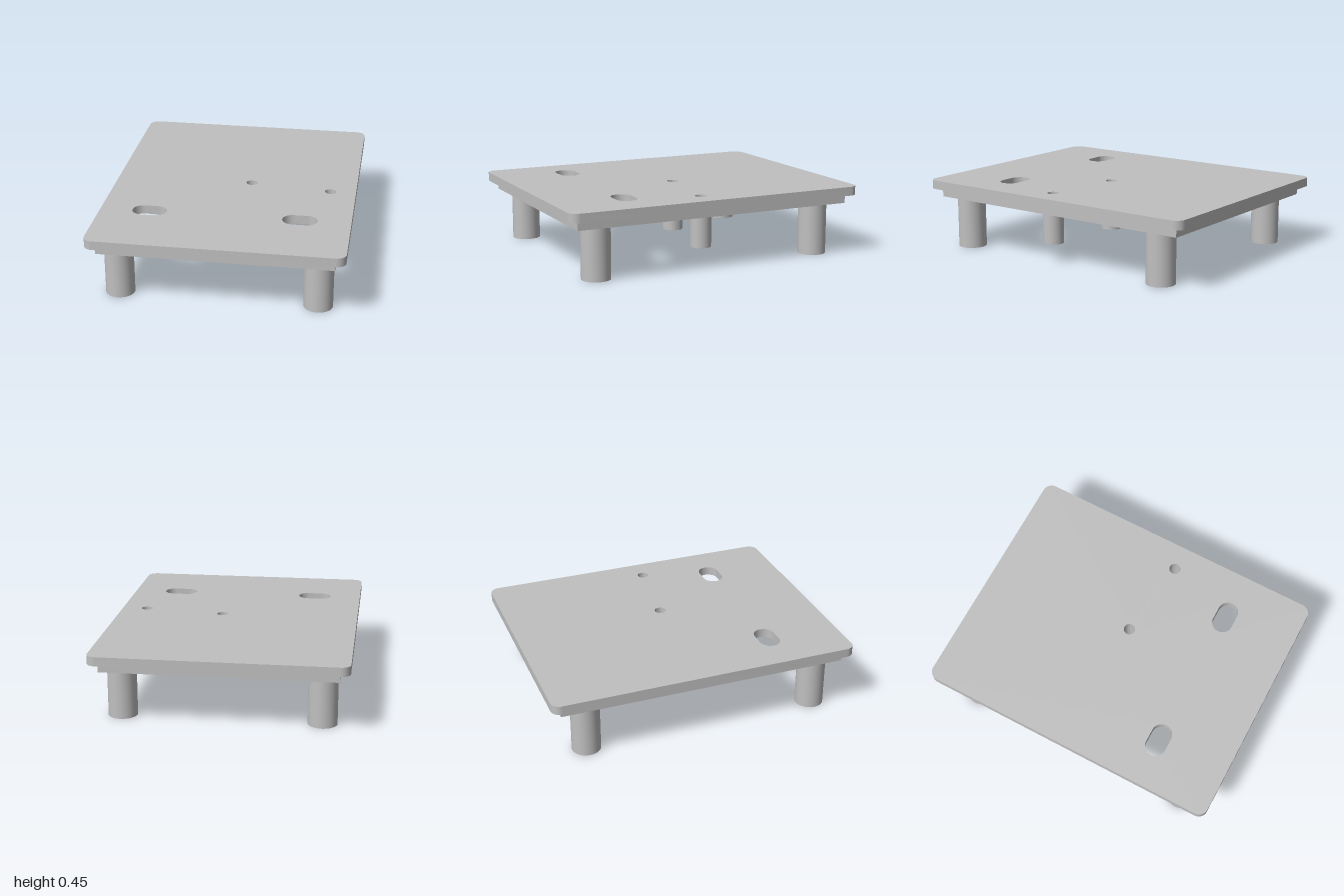
import * as THREE from 'three';
import { toCreasedNormals } from 'three/addons/utils/BufferGeometryUtils.js';

const TOP = 0.449, UNDERSIDE = 0.391, RIM_BOTTOM = 0.332;

// Shapes are drawn in plan: shape x = x, shape y = z.
function roundedRect(Type, x, z, halfW, halfD, r) {
  const s = new Type();
  const q = Math.PI / 2;
  s.absarc(x + halfW - r, z + halfD - r, r, 0, q);
  s.absarc(x - halfW + r, z + halfD - r, r, q, 2 * q);
  s.absarc(x - halfW + r, z - halfD + r, r, 2 * q, 3 * q);
  s.absarc(x + halfW - r, z - halfD + r, r, 3 * q, 4 * q);
  s.closePath();
  return s;
}

function rect(Type, halfW, halfD) {
  const s = new Type();
  s.moveTo(-halfW, -halfD);
  s.lineTo(halfW, -halfD);
  s.lineTo(halfW, halfD);
  s.lineTo(-halfW, halfD);
  s.closePath();
  return s;
}

function circle(Type, x, z, r) {
  const s = new Type();
  s.absarc(x, z, r, 0, Math.PI * 2);
  return s;
}

// Extrudes a plan shape between two heights, smooth on curves and sharp on edges.
function slab(name, shape, bottom, top, material) {
  const geometry = new THREE.ExtrudeGeometry(shape, {
    depth: top - bottom, bevelEnabled: false, curveSegments: 20,
  });
  geometry.rotateX(Math.PI / 2);
  geometry.translate(0, top, 0);
  const mesh = new THREE.Mesh(toCreasedNormals(geometry, 0.6), material);
  mesh.name = name;
  return mesh;
}

export function createModel() {
  const model = new THREE.Group();
  model.name = 'coverPlate';
  const grey = new THREE.MeshStandardMaterial({ name: 'grey', color: 0xc0c0c0 });

  const shortPosts = [[0.102, 0.004], [0.629, 0.069]];

  // Top plate with two slots and two round through holes
  const plate = roundedRect(THREE.Shape, 0, 0, 0.795, 1, 0.06);
  for (const x of [-0.48, 0.474]) {
    plate.holes.push(roundedRect(THREE.Path, x, 0.523, 0.11, 0.067, 0.0665));
  }
  for (const [x, z] of shortPosts) plate.holes.push(circle(THREE.Path, x, z, 0.037));
  model.add(slab('topPlate', plate, UNDERSIDE, TOP, grey));

  // Thin rim under the plate
  const rim = rect(THREE.Shape, 0.732, 0.936);
  rim.holes.push(rect(THREE.Path, 0.702, 0.906));
  model.add(slab('rim', rim, RIM_BOTTOM, UNDERSIDE, grey));

  // Hollow posts
  const addPost = (name, x, z, r, bore, bottom) => {
    const ring = circle(THREE.Shape, x, z, r);
    ring.holes.push(circle(THREE.Path, x, z, bore));
    model.add(slab(name, ring, bottom, UNDERSIDE, grey));
  };
  for (const x of [-0.624, 0.624]) {
    for (const z of [-0.756, 0.778]) addPost('cornerPost', x, z, 0.092, 0.033, 0);
  }
  for (const [x, z] of shortPosts) addPost('shortPost', x, z, 0.067, 0.037, 0.128);

  return model;
}
